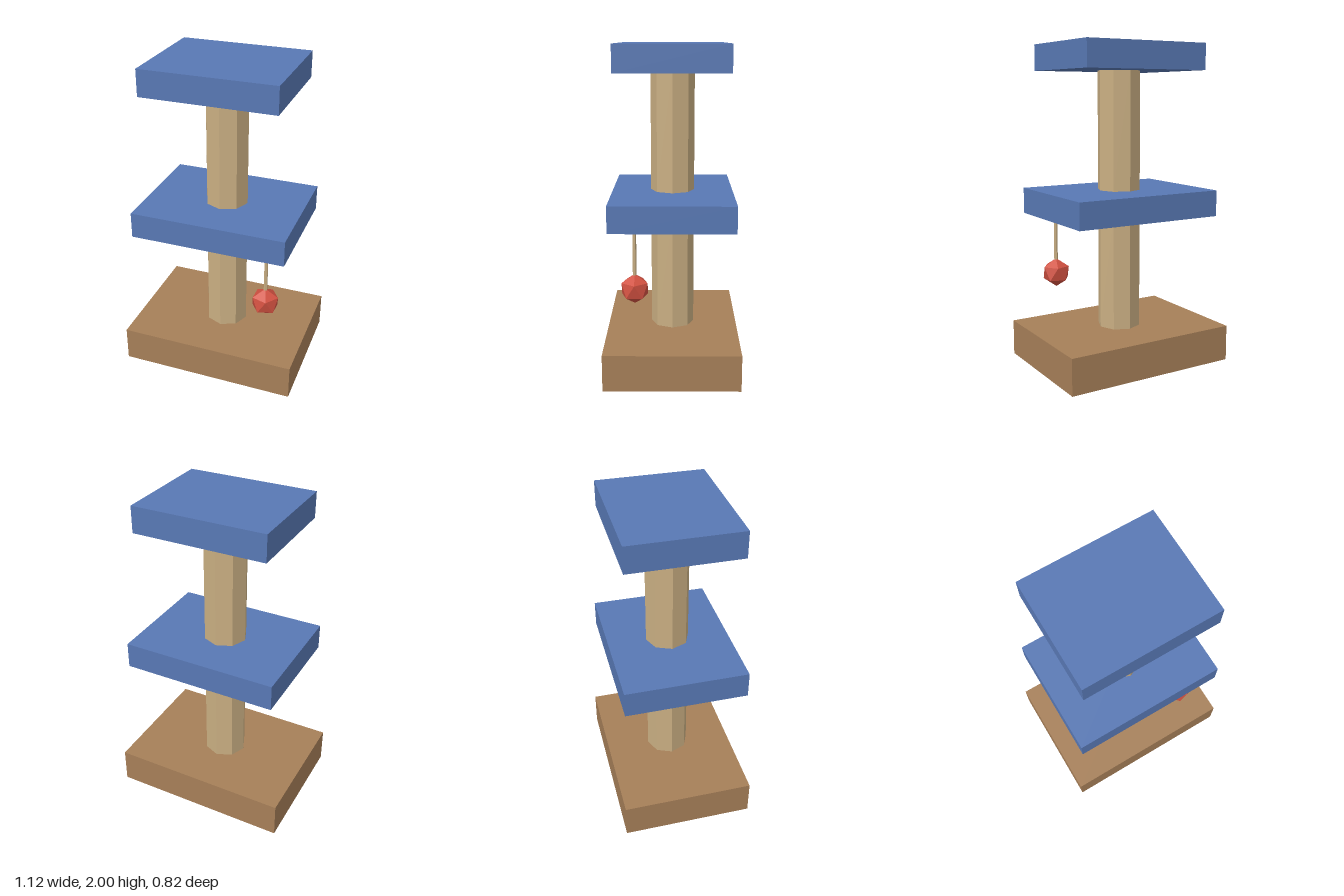
import * as THREE from 'three';
import { ConvexGeometry } from 'three/addons/geometries/ConvexGeometry.js';

const material = (name, color) => {
  const m = new THREE.MeshStandardMaterial({ color, flatShading: true });
  m.name = name;
  return m;
};

// Icosahedron standing on a vertex: two poles and two staggered rings of five
function icosahedron(radius) {
  const points = [new THREE.Vector3(0, radius, 0), new THREE.Vector3(0, -radius, 0)];
  const ringY = radius / Math.sqrt(5), ringR = 2 * ringY;
  for (let i = 0; i < 5; i++) {
    const a = (i * Math.PI * 2) / 5;
    const x = ringR * Math.cos(a), z = ringR * Math.sin(a);
    points.push(new THREE.Vector3(x, ringY, z), new THREE.Vector3(-x, -ringY, -z));
  }
  return new ConvexGeometry(points);
}

export function createModel() {
  const model = new THREE.Group();
  model.name = 'catTree';

  const wood = material('brown base', 0xa67f58);
  const sisal = material('tan sisal', 0xc9ae82);
  const carpet = material('blue carpet', 0x5878b4);
  const red = material('red toy', 0xd05040);

  const add = (name, geometry, mat, x, y, z) => {
    const mesh = new THREE.Mesh(geometry, mat);
    mesh.name = name;
    mesh.position.set(x, y, z);
    model.add(mesh);
  };
  // Box given by its bottom and top heights
  const slab = (name, w, d, y0, y1, mat) =>
    add(name, new THREE.BoxGeometry(w, y1 - y0, d), mat, 0, (y0 + y1) / 2, 0);
  // Upright prism given by its bottom and top heights
  const pole = (name, r, sides, y0, y1, x, z) =>
    add(name, new THREE.CylinderGeometry(r, r, y1 - y0, sides), sisal, x, (y0 + y1) / 2, z);

  // Base and platforms
  slab('base', 1.12, 0.82, 0, 0.224, wood);
  slab('middlePlatform', 0.97, 0.747, 0.94, 1.102, carpet);
  slab('topPlatform', 0.821, 0.672, 1.838, 2, carpet);

  // Octagonal scratching posts
  pole('lowerPost', 0.135, 8, 0.224, 0.94, 0, 0);
  pole('upperPost', 0.135, 8, 1.102, 1.838, 0, 0);

  // Hanging toy
  pole('toyString', 0.0115, 6, 0.6, 0.94, 0.335, 0.225);
  add('toyBall', icosahedron(0.092), red, 0.335, 0.56, 0.225);

  return model;
}
